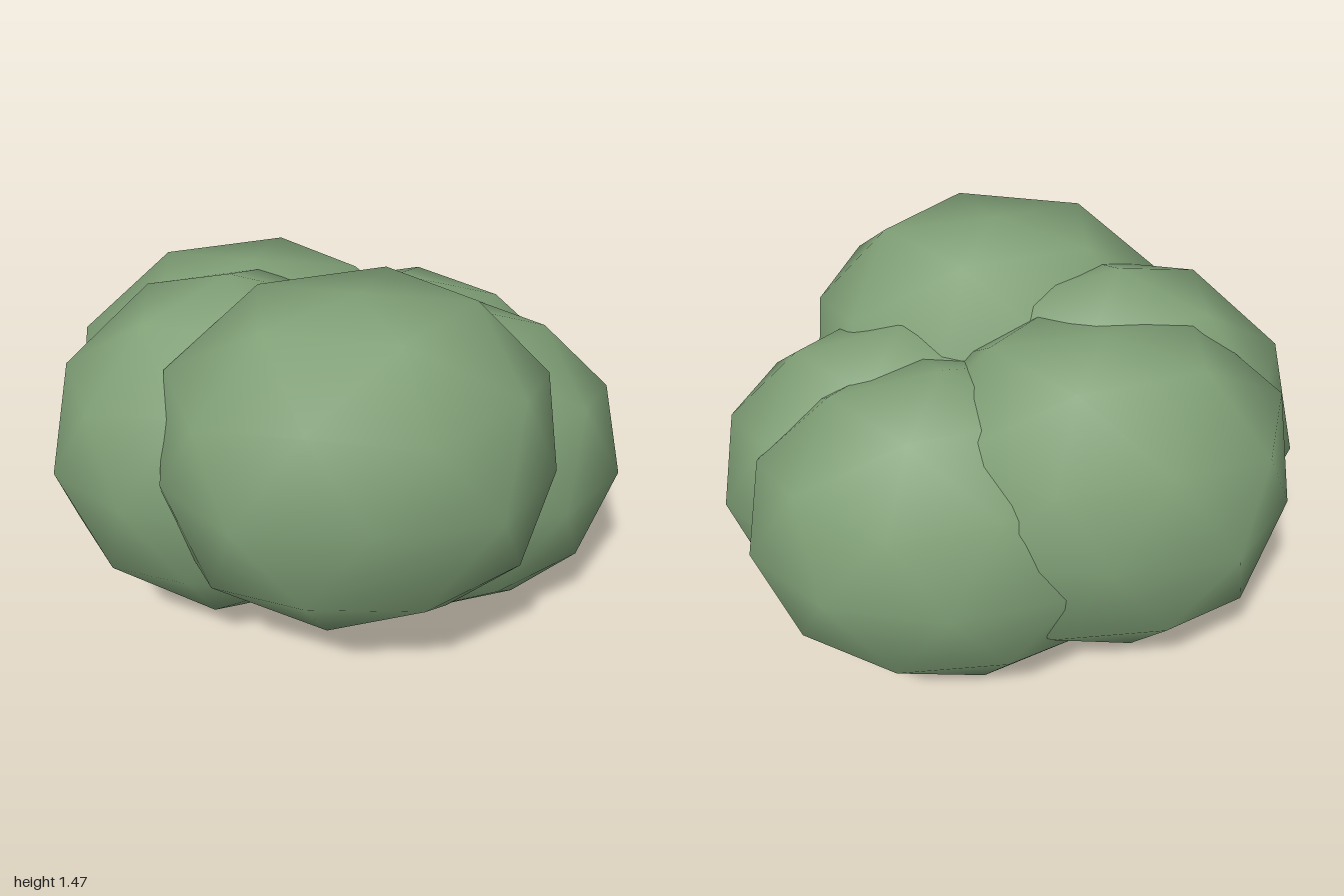
import * as THREE from 'three';
import { mergeVertices } from 'three/addons/utils/BufferGeometryUtils.js';

const leafGreen = new THREE.MeshStandardMaterial({ color: 0x7f9f76 });
leafGreen.name = 'leafGreen';

// Smooth low-poly clump: a stretched icosphere standing on one of its corners.
// "boxy" flattens the ends of the three axes a little.
function clump({ name, center, radius, boxy }) {
  let geo = new THREE.IcosahedronGeometry(1, 1);
  geo.deleteAttribute('normal');
  geo.deleteAttribute('uv');
  geo = mergeVertices(geo, 1e-3);
  geo.rotateX(-Math.atan((1 + Math.sqrt(5)) / 2));
  geo.rotateY(Math.PI / 2);

  const pos = geo.attributes.position;
  const v = new THREE.Vector3();
  for (let i = 0; i < pos.count; i++) {
    v.fromBufferAttribute(pos, i);
    const axial = Math.max(Math.abs(v.x), Math.abs(v.y), Math.abs(v.z));
    v.multiplyScalar(1 - boxy * Math.max(0, axial - 0.85));
    pos.setXYZ(i, v.x * radius[0], v.y * radius[1], v.z * radius[2]);
  }
  geo.computeVertexNormals();

  const mesh = new THREE.Mesh(geo, leafGreen);
  mesh.name = name;
  mesh.position.set(...center);
  return mesh;
}

const clumps = [
  { name: 'frontClump', center: [0.03, 0.89, 0.31], radius: [0.72, 0.64, 0.54], boxy: 0.6 },
  { name: 'leftClump', center: [0.36, 0.63, -0.03], radius: [0.673, 0.625, 0.49], boxy: 0 },
  { name: 'backLeftClump', center: [0.22, 0.63, -0.29], radius: [0.7, 0.62, 0.51], boxy: 0 },
  { name: 'backRightClump', center: [-0.3, 0.76, -0.25], radius: [0.7, 0.64, 0.54], boxy: 0.6 },
  { name: 'rightClump', center: [-0.37, 0.76, 0.03], radius: [0.663, 0.66, 0.49], boxy: 0 },
];

export function createModel() {
  const bush = new THREE.Group();
  bush.name = 'bush';
  for (const spec of clumps) bush.add(clump(spec));
  return bush;
}
